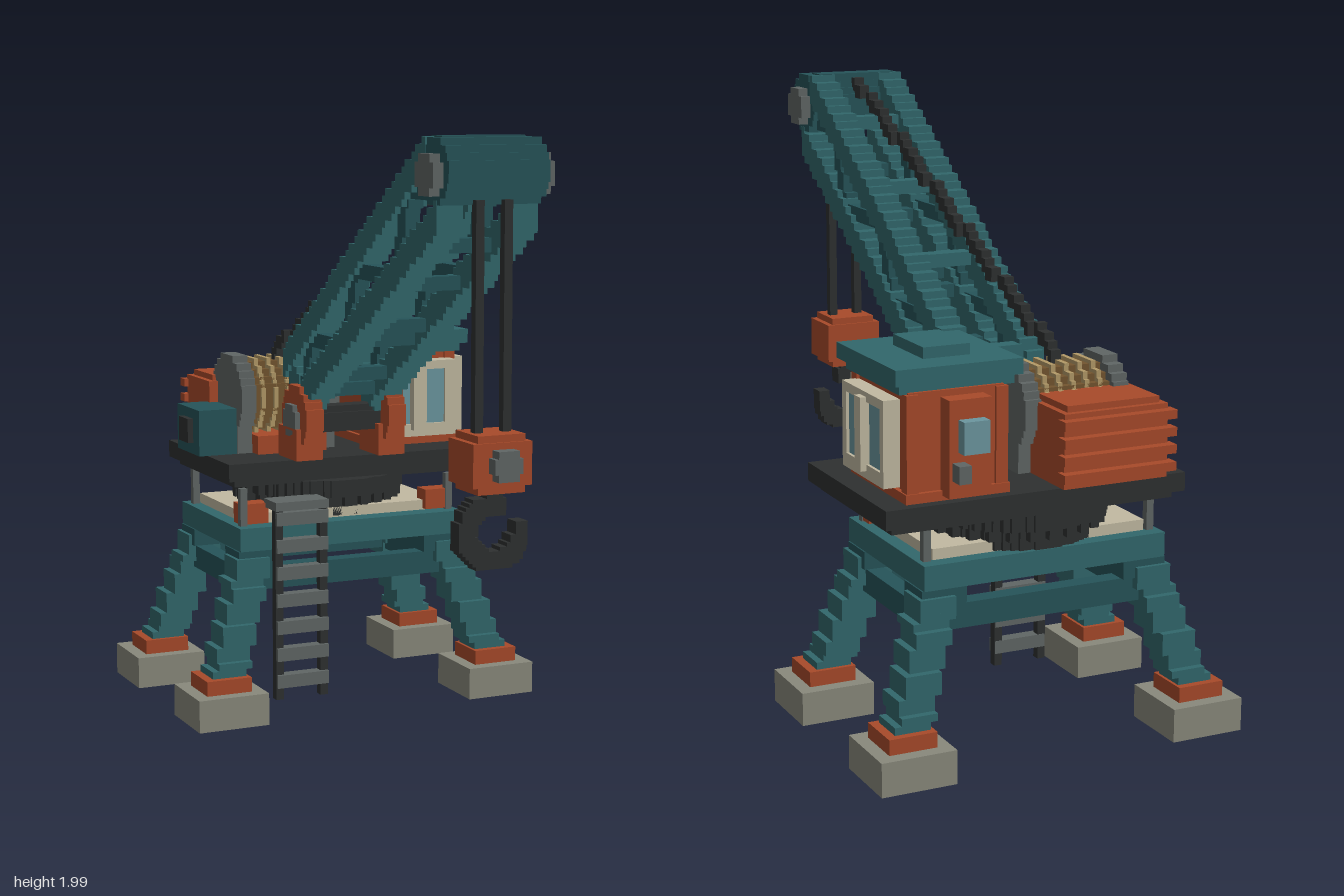
import * as THREE from 'three';
import { mergeGeometries } from 'three/addons/utils/BufferGeometryUtils.js';

const U = 0.0235; // size of one step in the blocky slopes and curves
const mat = (c) => new THREE.MeshStandardMaterial({ color: c, flatShading: true });
const M = {
  teal: mat(0x32686c), darkTeal: mat(0x265459), orange: mat(0xa84a2a), black: mat(0x2e3131),
  grey: mat(0x606665), concrete: mat(0x89897c), cream: mat(0xc2baa2), glass: mat(0x6c97a0),
  brown: mat(0x73552f), tan: mat(0xb39a68),
};

// box from min and max corners
function box(x0, x1, y0, y1, z0, z1) {
  return new THREE.BoxGeometry(x1 - x0, y1 - y0, z1 - z0)
    .translate((x0 + x1) / 2, (y0 + y1) / 2, (z0 + z1) / 2);
}
const cbox = (x, y, z, w, h, d) => new THREE.BoxGeometry(w, h, d).translate(x, y, z);

// staircase beam: slices along the dominant axis, offsets snapped to the step
function beam(a, b, w, h, d) {
  const A = new THREE.Vector3(...a), B = new THREE.Vector3(...b), D = B.clone().sub(A);
  const ax = ['x', 'y', 'z'].reduce((m, k) => (Math.abs(D[k]) > Math.abs(D[m]) ? k : m), 'x');
  const n = Math.max(1, Math.round(Math.abs(D[ax]) / U)), len = Math.abs(D[ax]) / n;
  const size = { x: w, y: h, z: d, [ax]: len };
  const out = [];
  for (let i = 0; i < n; i++) {
    const p = A.clone().lerp(B, (i + 0.5) / n);
    for (const k of ['x', 'y', 'z']) if (k !== ax) p[k] = A[k] + Math.round((p[k] - A[k]) / U) * U;
    out.push(cbox(p.x, p.y, p.z, size.x, size.y, size.z));
  }
  return out;
}

// blocky disc made of rows, lying along axis x, y or z
function disc(axis, x, y, z, r, len) {
  const n = Math.max(4, Math.round((2 * r) / U)), row = (2 * r) / n, out = [];
  for (let i = 0; i < n; i++) {
    const v = -r + (i + 0.5) * row;
    const w = 2 * Math.max(row / 2, Math.round(Math.sqrt(r * r - v * v) / (row / 2)) * (row / 2));
    if (axis === 'x') out.push(cbox(x, y + v, z, len, row, w));
    else if (axis === 'y') out.push(cbox(x + v, y, z, row, len, w));
    else out.push(cbox(x, y + v, z, w, row, len));
  }
  return out;
}

export function createModel() {
  const root = new THREE.Group();
  const add = (name, material, ...geos) => {
    const mesh = new THREE.Mesh(mergeGeometries(geos.flat()), material);
    mesh.name = name;
    root.add(mesh);
  };
  const sides = [-1, 1];

  // feet and splayed legs
  for (const sx of sides) for (const sz of sides) {
    const x = sx * 0.505, z = -0.5 + sz * 0.315;
    add('footPad', M.concrete, cbox(x, 0.055, z, 0.25, 0.11, 0.25));
    add('footPlate', M.orange, cbox(x, 0.135, z, 0.16, 0.05, 0.16));
    add('leg', M.teal, beam([sx * 0.495, 0.16, -0.5 + sz * 0.31], [sx * 0.36, 0.57, -0.5 + sz * 0.225], 0.12, 0.1, 0.12));
    add('legBracket', M.darkTeal, cbox(sx * 0.35, 0.54, -0.5 + sz * 0.22, 0.15, 0.06, 0.13));
    add('deckPost', M.grey, cbox(sx * 0.39, 0.715, -0.5 + sz * 0.235, 0.025, 0.13, 0.025));
  }

  // portal frame
  for (const s of sides) {
    add('deckBeam', M.teal,
      box(-0.42, 0.42, 0.57, 0.65, -0.5 + s * 0.24 - 0.05, -0.5 + s * 0.24 + 0.05),
      cbox(s * 0.365, 0.61, -0.5, 0.11, 0.08, 0.38));
    add('lowerBrace', M.darkTeal,
      cbox(0, 0.47, -0.5 + s * 0.24, 0.7, 0.08, 0.06),
      cbox(s * 0.38, 0.465, -0.5, 0.06, 0.08, 0.44));
    add('deckBlock', M.orange, cbox(s * 0.35, 0.69, -0.29, 0.1, 0.07, 0.07));
  }
  add('deckPlate', M.darkTeal, box(-0.31, 0.31, 0.61, 0.648, -0.69, -0.31));
  add('deckCover', M.cream, box(-0.37, 0.37, 0.65, 0.685, -0.74, -0.28));

  // ladder
  for (const x of [-0.295, -0.13]) add('ladderRail', M.black, cbox(x, 0.385, -0.185, 0.028, 0.67, 0.03));
  for (let i = 0; i < 7; i++) add('ladderRung', M.grey, cbox(-0.2125, 0.115 + i * 0.0945, -0.18, 0.19, 0.045, 0.045));
  add('ladderHook', M.grey, box(-0.31, -0.115, 0.71, 0.74, -0.27, -0.16));

  // slewing ring and turntable
  add('slewRing', M.black, disc('y', 0, 0.7, -0.54, 0.26, 0.09), disc('y', 0, 0.755, -0.54, 0.3, 0.06));
  for (let i = 0; i < 28; i++) {
    const a = (i / 28) * Math.PI * 2;
    add('ringTooth', M.black, cbox(Math.cos(a) * 0.285, 0.735, -0.54 + Math.sin(a) * 0.275, 0.028, 0.09, 0.028));
  }
  add('turntable', M.black, box(-0.44, 0.58, 0.805, 0.865, -0.87, -0.26), box(-0.41, 0.55, 0.78, 0.805, -0.84, -0.29));

  // cab body and roof
  add('cabBody', M.orange, box(0.17, 0.485, 0.865, 1.2, -0.82, -0.43), box(0.155, 0.5, 0.865, 0.895, -0.835, -0.42));
  for (const x of [0.18, 0.475]) for (const z of [-0.81, -0.44]) add('cabPost', M.orange, cbox(x, 1.03, z, 0.04, 0.33, 0.04));
  add('cabRoof', M.teal, box(0.11, 0.53, 1.225, 1.275, -0.83, -0.385), box(0.13, 0.51, 1.195, 1.225, -0.81, -0.41));
  add('roofHatch', M.teal, box(0.235, 0.39, 1.275, 1.31, -0.72, -0.5));

  // cab windows: front and outer side
  add('frontWindowFrame', M.cream,
    box(0.18, 0.475, 1.14, 1.17, -0.43, -0.365), box(0.18, 0.475, 0.9, 0.945, -0.43, -0.365),
    box(0.18, 0.2, 0.945, 1.14, -0.43, -0.365), box(0.43, 0.475, 0.945, 1.14, -0.43, -0.365),
    box(0.295, 0.345, 0.925, 1.155, -0.43, -0.34));
  add('frontWindowGlass', M.glass, box(0.2, 0.43, 0.945, 1.14, -0.43, -0.375));
  add('sideWindowFrame', M.cream,
    box(0.485, 0.54, 1.14, 1.17, -0.76, -0.45), box(0.485, 0.54, 0.9, 0.945, -0.76, -0.45),
    box(0.485, 0.54, 0.945, 1.14, -0.76, -0.735), box(0.485, 0.54, 0.945, 1.14, -0.48, -0.45),
    box(0.485, 0.56, 0.925, 1.155, -0.635, -0.59));
  add('sideWindowGlass', M.glass, box(0.485, 0.53, 0.945, 1.14, -0.735, -0.48));

  // cab rear door
  add('rearDoor', M.orange, box(0.24, 0.38, 0.88, 1.18, -0.88, -0.82));
  add('doorWindow', M.glass, box(0.265, 0.35, 1.02, 1.12, -0.92, -0.88));
  add('doorHandle', M.grey, box(0.33, 0.37, 0.935, 0.99, -0.93, -0.88));

  // engine housing with louvres, and side gearbox
  add('engineHousing', M.orange, box(-0.36, 0, 0.865, 1.1, -0.89, -0.66), box(-0.34, -0.02, 1.1, 1.12, -0.87, -0.68));
  for (let i = 0; i < 4; i++) add('engineLouvre', M.orange, cbox(-0.18, 0.905 + i * 0.055, -0.9, 0.39, 0.028, 0.045));
  add('gearbox', M.darkTeal, box(-0.47, -0.33, 0.865, 1.025, -0.69, -0.47));
  add('gearboxCap', M.black, box(-0.49, -0.47, 0.905, 0.99, -0.62, -0.53));

  // winch drum
  add('winchDrum', M.brown, disc('x', -0.145, 1.06, -0.57, 0.12, 0.26));
  for (let i = 0; i < 5; i++) add('winchRope', M.tan, disc('x', -0.24 + i * 0.0475, 1.06, -0.57, 0.132, 0.016));
  for (const x of [-0.3, 0.015]) {
    add('winchFlange', M.grey, disc('x', x, 1.06, -0.57, 0.145, 0.055));
    add('winchStand', M.grey, cbox(x, 0.92, -0.57, 0.055, 0.11, 0.2));
  }
  add('winchBase', M.orange, box(-0.27, -0.01, 0.865, 0.93, -0.66, -0.42));

  // boom pivot
  for (const s of sides) {
    add('pivotBracket', M.orange, disc('x', s * 0.155, 1.01, -0.29, 0.11, 0.065), cbox(s * 0.155, 0.92, -0.31, 0.1, 0.11, 0.16));
    add('pivotHub', M.grey, disc('x', s * 0.19, 1.0, -0.295, 0.055, 0.03));
  }
  add('pivotShaft', M.black, disc('x', 0, 1.0, -0.295, 0.045, 0.3));

  // lattice boom
  const lo = (z) => 1.095 + (z + 0.26) * 0.634, up = (z) => 1.205 + (z + 0.4) * 0.675;
  const lacing = [
    [1.82, 0.68, 1.82, 0.53], [1.81, 0.52, 1.56, 0.45], [1.545, 0.46, 1.545, 0.1],
    [1.53, 0.14, 1.3, 0.06], [1.285, 0.07, 1.285, -0.28], [1.27, -0.24, 1.1, -0.29],
  ];
  for (const s of sides) {
    const x = s * 0.127;
    add('lowerChord', M.teal, beam([x, lo(-0.27), -0.27], [x, lo(0.78), 0.78], 0.088, 0.105, 0));
    add('upperChord', M.teal, beam([x, up(-0.43), -0.43], [x, up(0.7), 0.7], 0.088, 0.1, 0));
    for (const [y0, z0, y1, z1] of lacing) add('boomLacing', M.darkTeal, beam([x, y0, z0], [x, y1, z1], 0.05, 0.05, 0.055));
    add('boomHeel', M.teal, beam([x, up(-0.41), -0.41], [x, 1.02, -0.28], 0.06, 0.06, 0.09));
  }
  for (const z of [-0.41, -0.05, 0.25, 0.53]) add('upperRung', M.teal, cbox(0, up(z), z, 0.18, 0.045, 0.055));
  for (const z of [-0.24, -0.14, 0.08, 0.16, 0.41, 0.62]) add('lowerRung', M.darkTeal, cbox(0, lo(z), z, 0.18, 0.045, 0.055));

  // boom head with sheave caps
  add('boomHead', M.darkTeal, disc('x', 0, 1.885, 0.757, 0.1, 0.34), cbox(0, 1.965, 0.715, 0.28, 0.05, 0.07));
  for (const s of sides) add('sheaveCap', M.grey, disc('x', s * 0.187, 1.875, 0.76, 0.063, 0.035));

  // hoist ropes and luffing cable
  for (const s of sides) add('hoistRope', M.black, box(s * 0.048 - 0.014, s * 0.048 + 0.014, 1.09, 1.8, 0.797, 0.825));
  add('luffingCable', M.black, beam([-0.14, 1.2, -0.57], [0, 1.97, 0.7], 0.035, 0.045, 0));

  // hook block and hook
  add('hookBlock', M.orange, cbox(0, 1.01, 0.807, 0.2, 0.135, 0.165), cbox(0, 1.01, 0.807, 0.16, 0.18, 0.15));
  add('hookBolt', M.grey, disc('z', 0, 1.01, 0.91, 0.047, 0.045));
  const hook = [cbox(0, 0.905, 0.811, 0.055, 0.05, 0.058)];
  for (let i = 0; i <= 26; i++) {
    const a = THREE.MathUtils.degToRad(85 + i * 10.8), t = i > 23 ? 0.04 : 0.055;
    const snap = (v) => Math.round(v / (U / 2)) * (U / 2);
    hook.push(cbox(snap(Math.cos(a) * 0.092), 0.79 + snap(Math.sin(a) * 0.088), 0.811, t, t, 0.058));
  }
  add('hook', M.black, hook);

  return root;
}
